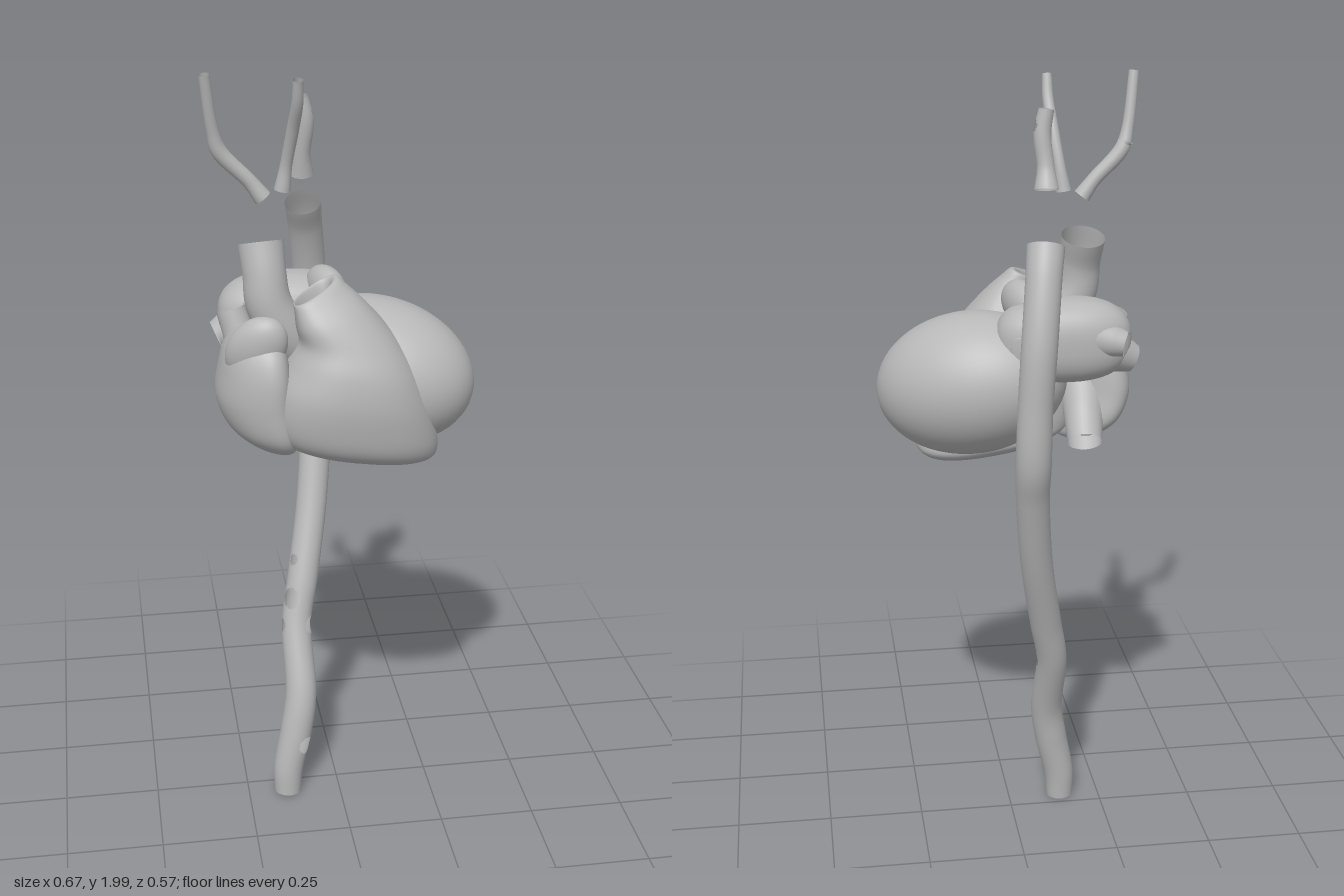
import * as THREE from 'three';

const tissue = new THREE.MeshStandardMaterial({ color: 0xb8b8b8, side: THREE.DoubleSide });
tissue.name = 'grey tissue';

const v = (p) => new THREE.Vector3(...p);

// Smoothly interpolated rows of numbers, three columns at a time
function rowSampler(rows) {
  const curves = [];
  for (let c = 0; c < rows[0].length; c += 3) {
    const pts = rows.map((r) => new THREE.Vector3(r[c], r[c + 1] ?? 0, r[c + 2] ?? 0));
    curves.push(new THREE.CatmullRomCurve3(pts, false, 'catmullrom', 0.5));
  }
  return (t) => curves.flatMap((k) => k.getPoint(t).toArray());
}

// Skin of rings; holes are [x, y, z, radius] cut-outs
function skin(rings, sides, point, holes = []) {
  const pos = [], index = [], pts = [];
  for (let i = 0; i <= rings; i++) {
    for (let j = 0; j < sides; j++) {
      const p = point(i, (j / sides) * Math.PI * 2);
      pts.push(p);
      pos.push(p.x, p.y, p.z);
    }
  }
  const mid = new THREE.Vector3();
  const add = (a, b, c) => {
    mid.copy(pts[a]).add(pts[b]).add(pts[c]).divideScalar(3);
    if (!holes.some((h) => mid.distanceTo(v(h)) < h[3])) index.push(a, b, c);
  };
  for (let i = 0; i < rings; i++) {
    for (let j = 0; j < sides; j++) {
      const a = i * sides + j, b = i * sides + ((j + 1) % sides);
      add(a, b, a + sides);
      add(b, b + sides, a + sides);
    }
  }
  const g = new THREE.BufferGeometry();
  g.setAttribute('position', new THREE.Float32BufferAttribute(pos, 3));
  g.setIndex(index);
  g.computeVertexNormals();
  return g;
}

// Open vessel through [x, y, z, radius] points
function vessel(points, rings = 40, sides = 28, holes = []) {
  const curve = new THREE.CatmullRomCurve3(points.map(v));
  const frames = curve.computeFrenetFrames(rings, false);
  const radius = rowSampler(points.map((p) => [p[3], 0, 0]));
  return skin(rings, sides, (i, a) => {
    const t = curve.getUtoTmapping(i / rings);
    const r = radius(t)[0];
    return curve.getPoint(t)
      .addScaledVector(frames.normals[i], r * Math.cos(a))
      .addScaledVector(frames.binormals[i], r * Math.sin(a));
  }, holes);
}

// Stacked horizontal sections: [y, cx, cz, rx, rz, skew, tilt]
function stack(rows, power = 0.85) {
  const sample = rowSampler(rows);
  const soft = (n) => Math.sign(n) * Math.abs(n) ** power;
  return skin(64, 56, (i, a) => {
    const [y, cx, cz, rx, rz, skew, tilt] = sample(i / 64);
    const dx = rx * soft(Math.cos(a));
    return new THREE.Vector3(cx + dx, y + tilt * dx, cz - rz * soft(Math.sin(a)) + skew * dx);
  });
}

export function createModel() {
  const model = new THREE.Group();
  model.name = 'heartAndVessels';
  const add = (name, geometry) => {
    const m = new THREE.Mesh(geometry, tissue);
    m.name = name;
    model.add(m);
    return m;
  };
  const blob = (name, centre, radii, axis = [1, 0, 0]) => {
    const m = add(name, new THREE.SphereGeometry(1, 48, 32));
    m.scale.set(...radii);
    m.position.set(...centre);
    m.quaternion.setFromUnitVectors(new THREE.Vector3(1, 0, 0), v(axis).normalize());
    return m;
  };

  // Ventricles
  blob('leftVentricle', [0.1, 1.235, 0.025], [0.25, 0.182, 0.182], [0.87, -0.2, 0.4]);
  add('rightVentricle', stack([
    [1.035, 0.05, 0.08, 0.001, 0.001, 0, -0.14],
    [1.04, 0.05, 0.085, 0.13, 0.08, 0, -0.14],
    [1.065, 0.04, 0.1, 0.19, 0.13, 0, -0.14],
    [1.1, 0.03, 0.115, 0.207, 0.147, 0, -0.12],
    [1.16, 0.02, 0.125, 0.205, 0.153, 0, -0.1],
    [1.23, 0.015, 0.13, 0.188, 0.155, 0, -0.1],
    [1.3, 0.015, 0.13, 0.155, 0.146, 0, -0.08],
    [1.36, 0.005, 0.13, 0.12, 0.122, -0.05, 0],
    [1.42, -0.03, 0.135, 0.09, 0.09, -0.2, 0.2],
    [1.46, -0.055, 0.135, 0.068, 0.06, -0.35, 0.35],
    [1.482, -0.07, 0.13, 0.055, 0.044, -0.45, 0.45],
    [1.465, -0.073, 0.13, 0.042, 0.034, -0.45, 0.45],
    [1.4, -0.06, 0.13, 0.03, 0.025, -0.3, 0.2],
  ]));

  // Right atrium with its flap and the two great veins
  add('rightAtrium', stack([
    [1.06, -0.17, 0.09, 0.001, 0.001, 0.5, 0],
    [1.075, -0.175, 0.09, 0.05, 0.07, 0.5, -0.1],
    [1.12, -0.2, 0.09, 0.083, 0.11, 0.5, -0.1],
    [1.2, -0.22, 0.095, 0.09, 0.115, 0.5, 0],
    [1.28, -0.218, 0.1, 0.083, 0.11, 0.5, 0],
    [1.34, -0.215, 0.1, 0.07, 0.09, 0.5, 0],
    [1.38, -0.21, 0.1, 0.045, 0.05, 0.5, 0],
    [1.395, -0.21, 0.1, 0.001, 0.001, 0.5, 0],
  ]));
  blob('rightAuricle', [-0.215, 1.345, 0.14], [0.095, 0.068, 0.045], [0.5, 0.75, 0.3]);
  add('superiorVein', vessel([[-0.23, 1.26, 0.05, 0.05], [-0.245, 1.34, 0.035, 0.04],
    [-0.265, 1.41, 0.02, 0.036]], 16));
  add('inferiorVein', vessel([[-0.19, 1.2, 0.04, 0.06], [-0.185, 1.14, -0.01, 0.05],
    [-0.18, 1.09, -0.06, 0.044]], 16));

  // Left atrium with its appendage and lung veins
  const atrium = blob('leftAtrium', [-0.12, 1.365, -0.065], [0.17, 0.105, 0.095]);
  const p = atrium.geometry.attributes.position;
  for (let i = 0; i < p.count; i++) {
    const c = [p.getX(i), p.getY(i), p.getZ(i)].map((n) => Math.sign(n) * Math.abs(n) ** 0.78);
    p.setXYZ(i, ...c);
  }
  atrium.geometry.computeVertexNormals();
  blob('leftAuricle', [-0.025, 1.445, 0], [0.088, 0.055, 0.042], [0.25, 0.05, 1]);
  add('rightLungVein', vessel([[-0.2, 1.35, -0.08, 0.07], [-0.25, 1.33, -0.075, 0.052],
    [-0.295, 1.31, -0.07, 0.036]], 16));
  add('rightUpperLungVein', vessel([[-0.19, 1.38, -0.1, 0.06], [-0.24, 1.37, -0.125, 0.04],
    [-0.265, 1.365, -0.135, 0.03]], 16));
  add('leftUpperLungVein', vessel([[-0.07, 1.41, -0.06, 0.04], [-0.065, 1.43, -0.09, 0.026],
    [-0.055, 1.435, -0.115, 0.02]], 14));
  add('leftLowerLungVein', vessel([[-0.03, 1.36, -0.08, 0.04], [-0.01, 1.37, -0.12, 0.028],
    [0.0, 1.37, -0.145, 0.022]], 14));

  // Main artery, rising and descending
  add('ascendingAorta', vessel([[-0.08, 1.28, 0.07, 0.05], [-0.14, 1.37, 0.1, 0.057],
    [-0.18, 1.45, 0.105, 0.056], [-0.188, 1.52, 0.098, 0.053], [-0.193, 1.59, 0.075, 0.056]]));
  add('descendingAorta', vessel([
    [-0.06, 1.62, -0.16, 0.046], [-0.05, 1.55, -0.195, 0.044], [-0.035, 1.4, -0.235, 0.044],
    [-0.025, 1.25, -0.241, 0.043], [-0.022, 1.1, -0.235, 0.044], [-0.025, 1, -0.205, 0.042],
    [-0.045, 0.8, -0.145, 0.041], [-0.08, 0.6, -0.08, 0.041], [-0.102, 0.48, -0.045, 0.04],
    [-0.1, 0.3, 0.02, 0.042], [-0.115, 0.2, 0.037, 0.043], [-0.14, 0.08, 0.047, 0.04],
    [-0.143, 0.01, 0.05, 0.036],
  ], 320, 56, [
    [-0.11, 0.66, -0.07, 0.017], [-0.117, 0.56, -0.038, 0.028], [-0.062, 0.48, -0.03, 0.026],
    [-0.142, 0.48, -0.038, 0.018], [-0.093, 0.16, 0.068, 0.025],
  ]));

  // Arch branches above the heart
  add('rightArchBranch', vessel([[-0.185, 1.695, 0.062, 0.022], [-0.215, 1.735, 0.062, 0.018],
    [-0.285, 1.81, 0.066, 0.019], [-0.3, 1.86, 0.075, 0.015], [-0.318, 1.995, 0.1, 0.013]], 40, 16));
  add('rightArchStub', vessel([[-0.285, 1.82, 0.068, 0.016], [-0.302, 1.832, 0.058, 0.012]], 6, 14));
  add('middleArchBranch', vessel([[-0.137, 1.71, 0.053, 0.02], [-0.128, 1.77, 0.06, 0.015],
    [-0.115, 1.86, 0.09, 0.015], [-0.108, 1.93, 0.125, 0.014], [-0.108, 1.985, 0.143, 0.012]], 40, 16));
  add('leftArchBranch', vessel([[-0.082, 1.73, -0.027, 0.031], [-0.082, 1.78, -0.012, 0.022],
    [-0.075, 1.86, 0, 0.022], [-0.085, 1.92, 0.002, 0.019]], 32, 18, [[-0.056, 1.88, 0, 0.013]]));
  return model;
}
